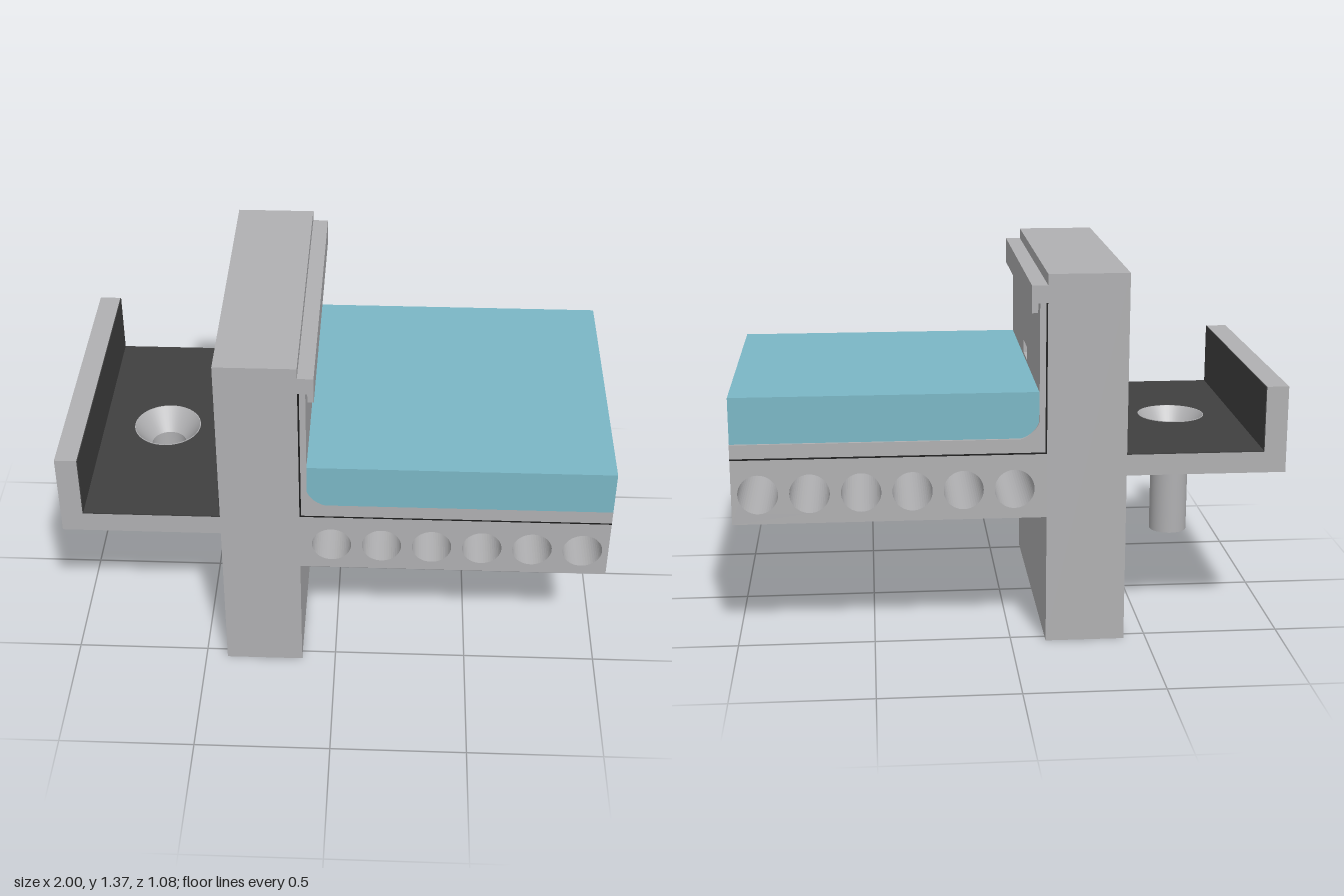
import * as THREE from 'three';
import { mergeGeometries } from 'three/addons/utils/BufferGeometryUtils.js';

const HALF = 0.54; // half the depth of the section

export function createModel() {
  const model = new THREE.Group();
  model.name = 'poolSection';
  const mat = (name, color) => {
    const m = new THREE.MeshStandardMaterial({ color });
    m.name = name;
    return m;
  };
  const concrete = mat('concrete grey', 0xb0b0b2);
  const water = mat('water blue', 0x7bb7c6);
  const dark = mat('dark coating', 0x404040);
  const black = mat('black membrane', 0x1c1c1c);

  const add = (name, geo, material) => {
    const m = new THREE.Mesh(geo, material);
    m.name = name;
    model.add(m);
    return m;
  };
  const rect = (C, x0, x1, y0, y1) => new C([[x0, y0], [x1, y0], [x1, y1], [x0, y1]]
    .map(([x, y]) => new THREE.Vector2(x, y)));
  const poly = (pts) => new THREE.Shape(pts.map(([x, y]) => new THREE.Vector2(x, y)));
  const circle = (x, y, r) => {
    const p = new THREE.Path();
    p.absarc(x, y, r, 0, Math.PI * 2, true);
    return p;
  };
  const extrude = (shape, depth) =>
    new THREE.ExtrudeGeometry(shape, { depth, bevelEnabled: false, curveSegments: 24 });
  // Front profile swept along z
  const alongZ = (shape, z0 = -HALF, z1 = HALF) => extrude(shape, z1 - z0).translate(0, 0, z0);
  // Side profile (z, y) swept along x; all side profiles are symmetric in z
  const alongX = (shape, x0, x1) => extrude(shape, x1 - x0).rotateY(Math.PI / 2).translate(x0, 0, 0);
  const box = (name, x0, x1, y0, y1, material) =>
    add(name, alongZ(rect(THREE.Shape, x0, x1, y0, y1)), material);

  // Upright wall, membrane and lining, pierced by the two overflow openings
  const openings = [
    { name: 'upperSpout', z: 0.067, y0: 0.956, y1: 1.006, wall: 0.007 },
    { name: 'lowerSpout', z: 0.05, y0: 0.783, y1: 0.818, wall: 0.007 },
  ];
  const panel = (name, x0, x1, y0, y1, material) => {
    const s = rect(THREE.Shape, -HALF, HALF, y0, y1);
    for (const o of openings) s.holes.push(rect(THREE.Path, -o.z, o.z, o.y0, o.y1));
    add(name, alongX(s, x0, x1), material);
  };
  panel('wall', -0.418, -0.128, 0, 1.37, concrete);
  panel('wallMembrane', -0.128, -0.122, 0.718, 1.267, black);
  panel('poolLining', -0.122, -0.1, 0.724, 1.267, concrete);

  // Hollow spouts over the gutter
  for (const o of openings) {
    const s = rect(THREE.Shape, -o.z - o.wall, o.z + o.wall, o.y0 - o.wall, o.y1 + o.wall);
    s.holes.push(rect(THREE.Path, -o.z, o.z, o.y0, o.y1));
    add(o.name, alongX(s, -0.48, -0.418), concrete);
  }

  // Hooked cap rail above the lining
  add('capRail', alongZ(poly([
    [-0.128, 1.267], [-0.093, 1.267], [-0.093, 1.232], [-0.071, 1.232], [-0.071, 1.33], [-0.128, 1.33],
  ])), concrete);

  // Hollow-core floor slab
  const slab = rect(THREE.Shape, -0.128, 1, 0.48, 0.718);
  for (let i = 0; i < 6; i++) slab.holes.push(circle(-0.012 + i * 0.1835, 0.59, 0.072));
  add('floorSlab', alongZ(slab), concrete);
  box('floorMembrane', -0.122, 1, 0.718, 0.724, black);
  box('screed', -0.1, 1, 0.724, 0.775, concrete);

  // Curved fillet in the pool corner, and the water that follows it
  const fillet = poly([[-0.1, 0.835], [-0.1, 0.775], [-0.035, 0.775]]);
  fillet.quadraticCurveTo(-0.083, 0.79, -0.1, 0.835);
  add('cornerFillet', alongZ(fillet), concrete);
  const pool = poly([[-0.035, 0.775], [1, 0.775], [1, 0.945], [-0.1, 0.945], [-0.1, 0.835]]);
  pool.quadraticCurveTo(-0.083, 0.79, -0.035, 0.775);
  add('water', alongZ(pool, -0.53, HALF), water);

  // Gutter: floor with a round drain opening, and outer rim
  const drainX = -0.673;
  const gutterPlate = (name, x0, y0, y1, material) => {
    const s = rect(THREE.Shape, x0, -0.418, -HALF, HALF);
    s.holes.push(circle(drainX, 0, 0.127));
    add(name, extrude(s, y1 - y0).rotateX(-Math.PI / 2).translate(0, y0, 0), material);
  };
  gutterPlate('gutterFloor', -0.92, 0.63, 0.708, concrete);
  gutterPlate('gutterFloorCoating', -0.92, 0.708, 0.713, dark);
  box('gutterRim', -1, -0.92, 0.63, 0.95, concrete);
  box('rimCoating', -0.92, -0.917, 0.713, 0.949, dark);
  // Wall coating stops around the lower spout
  const strip = rect(THREE.Shape, -HALF, HALF, 0.713, 0.83);
  strip.holes.push(rect(THREE.Path, -0.05, 0.05, 0.783, 0.818));
  add('wallCoating', alongX(strip, -0.421, -0.418), dark);

  // Drain funnel and pipe, one lathe per straight run to keep the edges sharp
  const run = [[0.073, 0.245], [0.073, 0.63], [0.128, 0.63], [0.128, 0.715],
    [0.125, 0.715], [0.066, 0.63], [0.066, 0.245], [0.073, 0.245]].map(([r, y]) => new THREE.Vector2(r, y));
  const parts = run.slice(1).map((p, i) => new THREE.LatheGeometry([run[i], p], 48));
  add('drainPipe', mergeGeometries(parts), concrete).position.x = drainX;

  return model;
}
